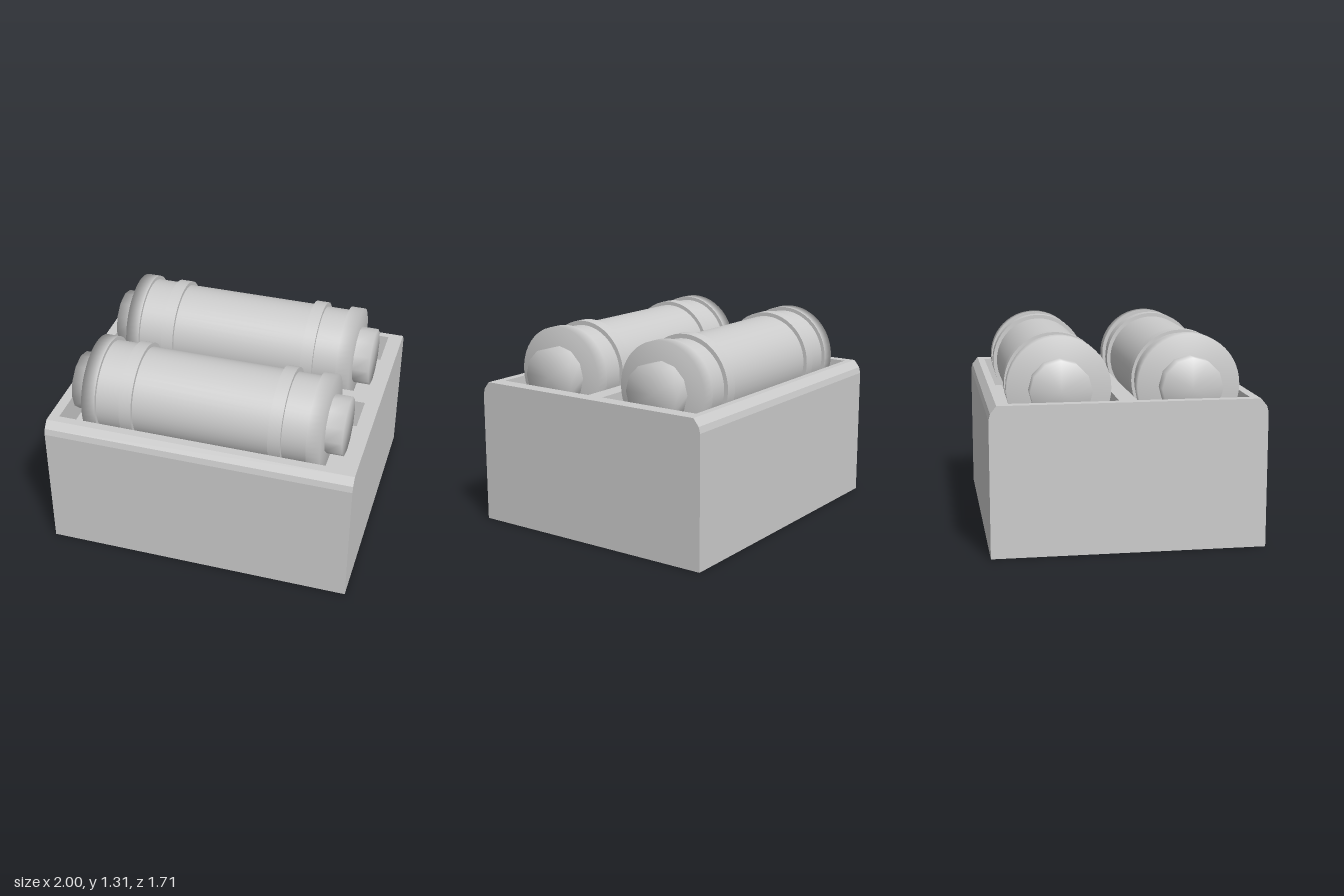
import * as THREE from 'three';

const grey = new THREE.MeshStandardMaterial({ color: 0xcccccc, side: THREE.DoubleSide });
grey.name = 'light grey';

function mesh(name, geometry, parent) {
  const m = new THREE.Mesh(geometry, grey);
  m.name = name;
  parent.add(m);
  return m;
}

// Flat-shaded geometry from four-cornered faces
function quads(list) {
  const pos = [];
  for (const [a, b, c, d] of list) pos.push(...a, ...b, ...c, ...a, ...c, ...d);
  const g = new THREE.BufferGeometry();
  g.setAttribute('position', new THREE.Float32BufferAttribute(pos, 3));
  g.computeVertexNormals();
  return g;
}

// Turned part lying along x, with a flat cap at the end facing dir
function turnedCap(radius, inner, outer, sides) {
  const dir = Math.sign(outer - inner);
  const len = Math.abs(outer - inner);
  const profile = [[radius, 0], [radius, len], [0, len]].map(p => new THREE.Vector2(...p));
  const g = new THREE.LatheGeometry(profile, sides);
  g.rotateZ(-dir * Math.PI / 2);
  return g.translate(inner, 0, 0);
}

function band(radius, x0, x1, open) {
  const g = new THREE.CylinderGeometry(radius, radius, x1 - x0, 48, 1, open);
  g.rotateZ(Math.PI / 2);
  return g.translate((x0 + x1) / 2, 0, 0);
}

function rectPath(x0, x1, y0, y1) {
  return new THREE.Path([[x0, y0], [x1, y0], [x1, y1], [x0, y1]].map(p => new THREE.Vector2(...p)));
}

function createCanister(z) {
  const g = new THREE.Group();
  g.name = 'canister';
  mesh('body', band(0.292, -0.46, 0.43, true), g);
  mesh('leftNeck', band(0.298, -0.7, -0.54, true), g);
  mesh('rightNeck', band(0.289, 0.51, 0.67, true), g);
  mesh('ring', band(0.317, -0.54, -0.46, false), g);
  mesh('ring', band(0.317, 0.43, 0.51, false), g);
  // Stepped ends: wide flange, its inner shoulder and a twelve-sided knob
  for (const [r, inner, outer, tip] of [[0.322, -0.7, -0.79, -0.91], [0.313, 0.67, 0.76, 0.87]]) {
    mesh('flange', turnedCap(r, inner, outer, 48), g);
    const shoulder = new THREE.RingGeometry(0.28, r, 48);
    shoulder.rotateY(inner < 0 ? Math.PI / 2 : -Math.PI / 2);
    mesh('flangeShoulder', shoulder.translate(inner, 0, 0), g);
    mesh('knob', turnedCap(0.19, outer, tip, 12), g);
  }
  g.position.set(0, 0.993, z);
  return g;
}

function createCase() {
  const g = new THREE.Group();
  g.name = 'case';
  const top = 0.937, floor = 0.737;
  const half = [[0.853, 0], [0.853, 0.85], [0.843, 0.89], [0.805, top]];
  const outline = [...half, ...half.map(([z, y]) => [-z, y]).reverse()];

  // Front and back walls with chamfered top edges
  const walls = [];
  for (let i = 0; i < outline.length - 1; i++) {
    if (i === half.length - 1) continue;
    const [z0, y0] = outline[i], [z1, y1] = outline[i + 1];
    walls.push([[-1, y0, z0], [1, y0, z0], [1, y1, z1], [-1, y1, z1]]);
  }
  mesh('longWalls', quads(walls), g);

  // End walls
  const endShape = new THREE.Shape(outline.map(p => new THREE.Vector2(...p)));
  for (const s of [-1, 1]) {
    const end = mesh('endWall', new THREE.ShapeGeometry(endShape), g);
    end.rotation.y = s * Math.PI / 2;
    end.position.x = s;
  }

  // Top plate with two openings, each leading into a sunken tray
  const plate = new THREE.Shape(rectPath(-1, 1, -0.805, 0.805).getPoints());
  const x0 = -0.935, x1 = 0.905;
  for (const [z0, z1] of [[-0.76, -0.06], [0.05, 0.75]]) {
    plate.holes.push(rectPath(x0, x1, -z1, -z0));
    const c = y => [[x0, y, z1], [x1, y, z1], [x1, y, z0], [x0, y, z0]];
    const lo = c(floor), hi = c(top);
    const faces = [lo];
    for (let i = 0; i < 4; i++) {
      const j = (i + 1) % 4;
      faces.push([lo[j], lo[i], hi[i], hi[j]]);
    }
    mesh('tray', quads(faces), g);
  }
  const plateGeometry = new THREE.ShapeGeometry(plate);
  plateGeometry.rotateX(-Math.PI / 2);
  mesh('topPlate', plateGeometry.translate(0, top, 0), g);
  return g;
}

export function createModel() {
  const model = new THREE.Group();
  model.name = 'canisterCase';
  model.add(createCase(), createCanister(0.4), createCanister(-0.407));
  return model;
}
